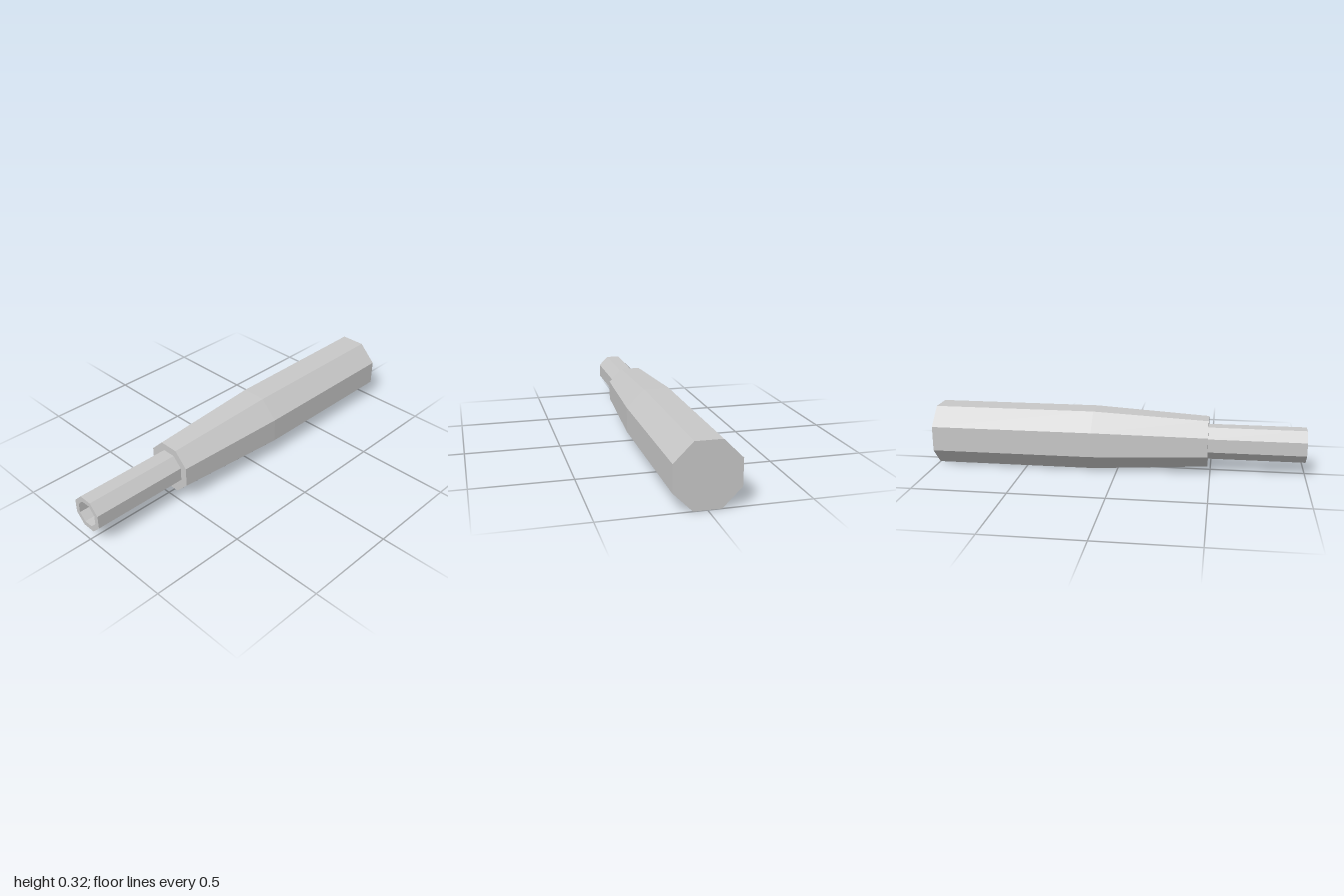
import * as THREE from 'three';

const SIDES = 8;
const CENTER_Y = 0.16;

// Octagonal solid along z from [distance to flat side, z] profile points
function octagonal(name, profile, material) {
  const toCorner = 1 / Math.cos(Math.PI / SIDES);
  const points = profile.map(([r, z]) => new THREE.Vector2(r * toCorner, z));
  const geometry = new THREE.LatheGeometry(points, SIDES, Math.PI / SIDES);
  geometry.rotateX(Math.PI / 2);
  const mesh = new THREE.Mesh(geometry, material);
  mesh.name = name;
  mesh.position.y = CENTER_Y;
  return mesh;
}

export function createModel() {
  const grey = new THREE.MeshStandardMaterial({ color: 0xc8c8c8, flatShading: true });
  grey.name = 'light grey';

  const group = new THREE.Group();
  group.name = 'handle';

  // Grip: straight at the back, tapering towards the front, closed at both ends
  group.add(octagonal('grip', [
    [0, -1], [0.16, -1], [0.16, -0.13], [0.126, 0.485], [0, 0.485],
  ], grey));

  // Hollow tube: outer wall, front rim, then the bore back to the grip
  group.add(octagonal('tube', [
    [0.087, 0.485], [0.087, 1], [0.061, 1], [0.061, 0.485],
  ], grey));

  return group;
}
